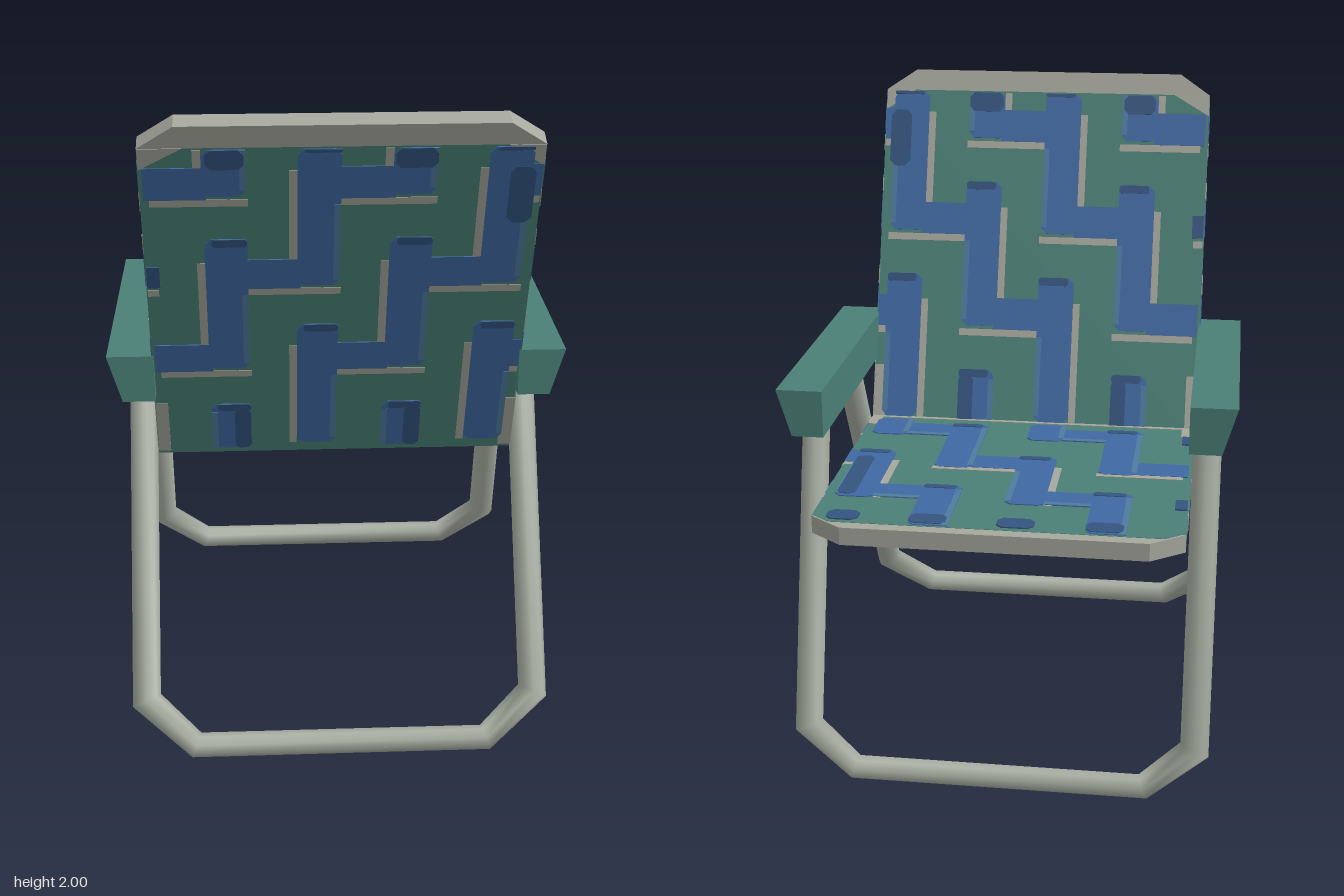
import * as THREE from 'three';
import { mergeGeometries } from 'three/addons/utils/BufferGeometryUtils.js';

const mat = (name, color) => {
  const m = new THREE.MeshStandardMaterial({ color });
  m.name = name;
  return m;
};

// Panel mappings: x across, v along the panel, w through it (0 = sitting side, 1 = far side)
const backMap = (x, v, w) => [x, v - 0.02 * w, 0.215 + (v - 0.885) * 0.369 + 0.052 * w];
const seatMap = (x, v, w) => [x, 0.885 - 0.055 * w, v];

// Extrude a flat outline through w0..w1 and bend it onto a panel
function slab(map, pts, w0, w1) {
  const shape = new THREE.Shape(pts.map(([x, v]) => new THREE.Vector2(x, v)));
  const g = new THREE.ExtrudeGeometry(shape, { depth: w1 - w0, bevelEnabled: false });
  const p = g.attributes.position;
  for (let i = 0; i < p.count; i++) p.setXYZ(i, ...map(p.getX(i), p.getY(i), p.getZ(i) + w0));
  g.computeVertexNormals();
  return g;
}

const rect = (x0, x1, v0, v1) => [[x0, v0], [x1, v0], [x1, v1], [x0, v1]];

// Rectangle with clipped corners
function clipped(x0, x1, v0, v1) {
  const c = Math.min(0.018, (x1 - x0) * 0.25, (v1 - v0) * 0.25);
  return [[x0 + c, v0], [x1 - c, v0], [x1, v0 + c], [x1, v1 - c],
    [x1 - c, v1], [x0 + c, v1], [x0, v1 - c], [x0, v0 + c]];
}

// Bent tube following a U in a leaning plane
function legGeometry(zTop, zFoot) {
  const zAt = y => zFoot + (y - 0.04) * (zTop - zFoot) / 1.03;
  const half = [[0.597, 1.12, 0.043], [0.597, 0.16, 0.043], [0.445, 0.04, 0.037]];
  const full = [...half, ...half.slice().reverse().map(([x, y, r]) => [-x, y, r])];
  const path = full.map(([x, y]) => new THREE.Vector3(x, y, zAt(y)));
  const n = new THREE.Vector3(0, -(zTop - zFoot), 1.03).normalize();
  const sides = 8, pos = [], idx = [];
  path.forEach((p, i) => {
    const a = p.clone().sub(path[Math.max(i - 1, 0)]).normalize();
    const b = path[Math.min(i + 1, path.length - 1)].clone().sub(p).normalize();
    const t = a.clone().add(b).normalize();
    const cos = t.dot(i ? a : b);
    const side = n.clone().cross(t);
    for (let k = 0; k < sides; k++) {
      const th = k / sides * Math.PI * 2;
      const q = p.clone().addScaledVector(side, Math.cos(th) * full[i][2] / cos)
        .addScaledVector(n, Math.sin(th) * 0.038);
      pos.push(q.x, q.y, q.z);
      if (i) {
        const k2 = (k + 1) % sides, r0 = (i - 1) * sides, r1 = i * sides;
        idx.push(r0 + k, r0 + k2, r1 + k, r0 + k2, r1 + k2, r1 + k);
      }
    }
  });
  const g = new THREE.BufferGeometry();
  g.setAttribute('position', new THREE.Float32BufferAttribute(pos, 3));
  g.setIndex(idx);
  g.computeVertexNormals();
  return g;
}

export function createModel() {
  const teal = mat('teal', 0x4a8076);
  const blue = mat('blue', 0x4069a3);
  const darkBlue = mat('darkBlue', 0x34547f);
  const paleBlue = mat('paleBlue', 0x4f7aa0);
  const trim = mat('fabricGrey', 0xa6a79d);
  const metal = mat('frameGrey', 0xa9b0a4);
  const layers = [[trim, 0.002], [blue, 0.003], [paleBlue, 0.004], [darkBlue, 0.005]];
  const GREY = 0, BLUE = 1, PALE = 2, DARK = 3;

  const model = new THREE.Group();
  model.name = 'foldingChair';
  const add = (parent, name, geo, material) => {
    const m = new THREE.Mesh(geo, material);
    m.name = name;
    parent.add(m);
    return m;
  };

  // Padded panel with a clipped end and a printed stair pattern on both faces
  function panel(name, o) {
    const group = new THREE.Group();
    group.name = name;
    model.add(group);
    const { map, v0, edge, end } = o;
    const [lo, hi] = [Math.min(v0, edge), Math.max(v0, edge)];
    add(group, name + 'Pad', slab(map, rect(-0.55, 0.55, lo, hi), 0, 1), teal);
    const cap = [[-0.55, edge], [0.55, edge], [0.45, end], [-0.45, end]];
    add(group, name + 'EndTrim', slab(map, cap, 0, 1), trim);

    const lists = layers.map(() => []);
    const plate = (layer, outline) => {
      const w = layers[layer][1] / 0.055;
      lists[layer].push(slab(map, outline, -w, 0), slab(map, outline, 1, 1 + w));
    };
    const patch = (layer, x0, x1, a, b, round) => {
      a = Math.max(a, o.min); b = Math.min(b, o.max);
      const lim = a < -0.65 ? 0.505 : 0.547;
      x0 = Math.max(x0, -lim); x1 = Math.min(x1, lim);
      if (x1 - x0 < 0.008 || b - a < 0.008) return;
      plate(layer, (round ? clipped : rect)(x0, x1, a, b));
    };

    // Repeating stair motif: upright bar with an arm to the right, edged in grey or pale blue
    for (let j = o.firstRow; j <= 2; j++) for (let i = -3; i <= 3; i++) {
      const x = -0.12 + 0.26 * j + 0.52 * i;
      const t = o.start + o.pitch * j, b = t - o.bar, a = t - o.armDrop;
      const arm = j >= o.firstArm, grey = o.greyRows.includes(j);
      if (x > -0.6) {
        patch(BLUE, x, x + 0.12, b, t, true);
        patch(DARK, x + 0.02, x + 0.12, t - 0.025, t, true);
        if (grey) {
          patch(GREY, x - 0.023, x, b, t - 0.08);
          patch(PALE, x + 0.102, x + 0.12, b + 0.02, a - 0.12);
        } else patch(PALE, x, x + 0.018, b + 0.02, t - 0.03);
        if (!arm) patch(DARK, x + 0.07, x + 0.12, b, t - 0.02, true);
      }
      if (!arm) continue;
      patch(BLUE, x + 0.1, x + 0.27, a - 0.1, a);
      if (grey) patch(GREY, x + 0.115, x + 0.385, a - 0.122, a - 0.1);
      else patch(PALE, x + 0.12, x + 0.26, a - 0.1, a - 0.08);
      if (x < -0.8) patch(DARK, x + 0.3, x + 0.39, a - 0.09, a - 0.02);
    }
    for (const [x0, x1, a, b] of o.darkSpots) patch(DARK, x0, x1, a, b, true);
    // Grey cloth showing at corners and fold
    for (const outline of o.greyPieces) plate(GREY, outline);
    lists.forEach((l, k) => add(group, name + 'Print' + k, mergeGeometries(l), layers[k][0]));

    // Printed bands wrapping the side edges
    for (const [material, bands] of o.bands) {
      const geos = [];
      for (const s of [-1, 1]) for (const [a, b] of bands)
        geos.push(slab(map, rect(s * 0.55 - 0.002, s * 0.55 + 0.002, a, b), 0, 1));
      add(group, name + 'EdgeBands', mergeGeometries(geos), material);
    }
    return group;
  }

  panel('backrest', {
    map: backMap, v0: 0.85, edge: 1.935, end: 2, min: 0.87, max: 1.93,
    start: 1.945, pitch: 0.3, bar: 0.46, armDrop: 0.07,
    firstRow: -3, firstArm: -2, greyRows: [-2, -1, 0, 1, 2],
    darkSpots: [[-0.37, -0.265, 1.87, 1.93], [0.145, 0.26, 1.87, 1.93], [0.46, 0.53, 1.69, 1.87]],
    greyPieces: [
      rect(-0.549, -0.512, 0.86, 1.05), rect(0.512, 0.549, 0.86, 1.05),
      [[-0.549, 1.87], [-0.43, 1.935], [-0.549, 1.935]],
      [[0.549, 1.87], [0.549, 1.935], [0.45, 1.935]],
    ],
    bands: [
      [blue, [[1.8, 1.89], [1.49, 1.6], [1.2, 1.3]]],
      [trim, [[1.74, 1.79], [1.61, 1.66], [1.31, 1.37], [0.86, 1.08]]],
    ],
  });
  const seat = panel('seat', {
    map: seatMap, v0: 0.25, edge: -0.65, end: -0.725, min: -0.68, max: 0.185,
    start: -0.11, pitch: 0.268, bar: 0.385, armDrop: 0.01,
    firstRow: -1, firstArm: -1, greyRows: [0],
    darkSpots: [
      ...[-0.38, -0.12, 0.14, 0.4].map(x => [x + 0.01, x + 0.12, -0.67, -0.605]),
      [0.46, 0.515, -0.48, -0.17],
    ],
    greyPieces: [
      rect(-0.549, -0.505, 0.13, 0.2), rect(0.512, 0.549, 0.13, 0.2),
      rect(-0.549, 0.549, 0.2, 0.225),
    ],
    bands: [
      [blue, [[0.05, 0.14], [-0.22, -0.1]]],
      [paleBlue, [[-0.47, -0.38]]],
      [trim, [[0.02, 0.04], [-0.25, -0.225], [-0.51, -0.48], [0.15, 0.2]]],
    ],
  });
  // Cloth reaching over the front trim
  const lip = [[-0.49, -0.687], [0.49, -0.687], [0.54, -0.65], [-0.54, -0.65]];
  add(seat, 'seatClothLip', mergeGeometries(
    [slab(seatMap, lip, -0.018, 0), slab(seatMap, lip, 1, 1.018)]), teal);

  // Armrests, outer face sloping inwards towards the bottom
  for (const s of [-1, 1]) {
    const g = new THREE.BoxGeometry(0.14, 0.145, 0.89);
    const p = g.attributes.position;
    for (let i = 0; i < p.count; i++)
      if (p.getX(i) * s > 0 && p.getY(i) < 0) p.setX(i, s * 0.027);
    g.computeVertexNormals();
    add(model, s > 0 ? 'leftArmrest' : 'rightArmrest', g, teal)
      .position.set(s * 0.615, 1.1425, -0.045);
  }

  // Tubular legs
  add(model, 'backrestSideLeg', legGeometry(0.09, 0.688), metal);
  add(model, 'seatSideLeg', legGeometry(-0.365, -0.648), metal);
  return model;
}
